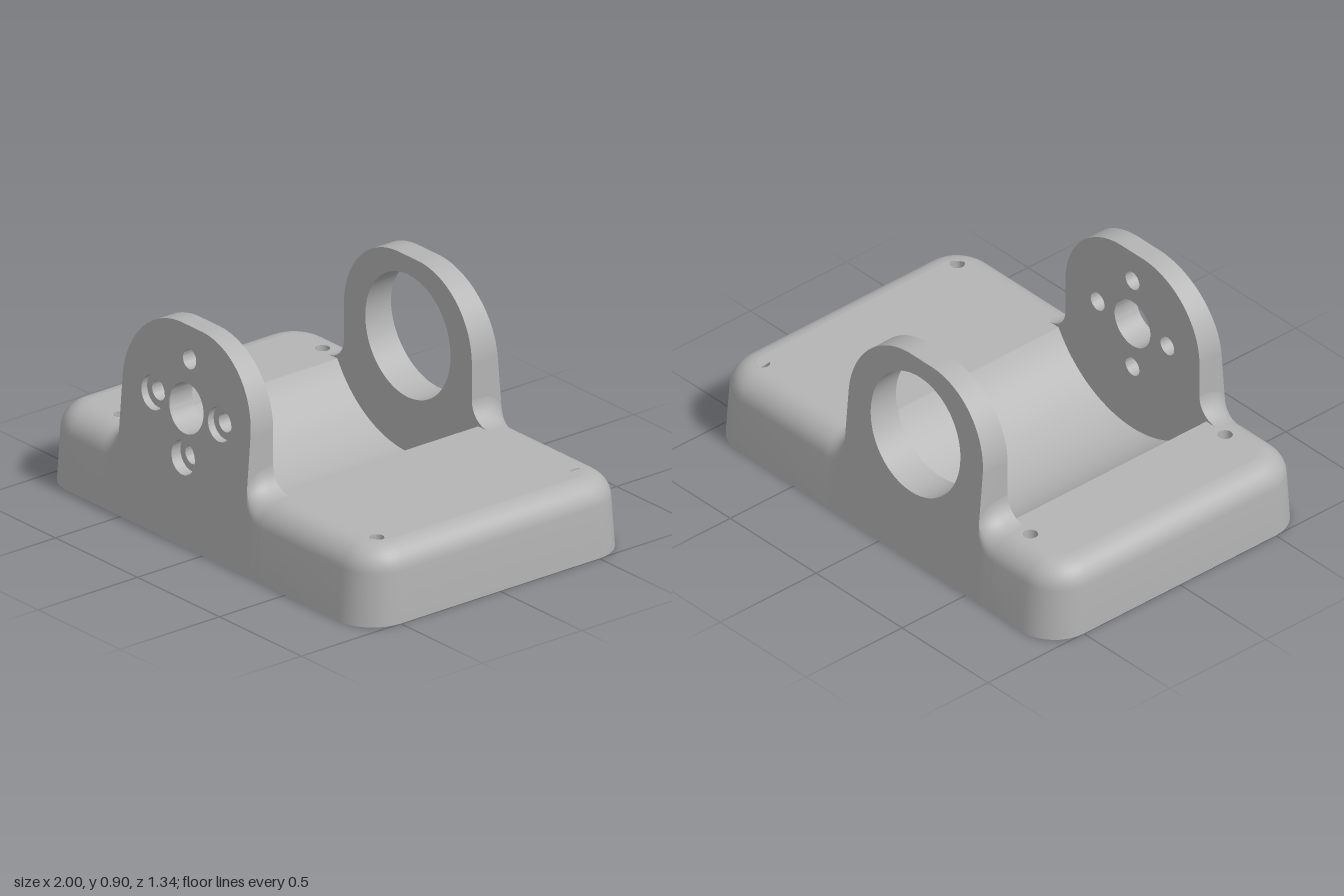
import * as THREE from 'three';
import { toCreasedNormals } from 'three/addons/utils/BufferGeometryUtils.js';

const EAR_L = -0.545, EAR_R = 0.235, EAR_X = -0.155, AXIS_Y = 0.56, TOP = 0.897;
const BASE_H = 0.32, ROUND = 0.1, CORNER = 0.17, FILLET = 0.095;
const INNER = { 1: 0.51, '-1': -0.49 };                    // inner faces of the ears
const outerZ = (f, y) => f * (0.67 - (f > 0 ? 0.08 : 0.088) * y); // drafted front and back faces
const BOLTS = [[-0.7, 0.505], [-0.7, -0.51], [0.86, 0.505], [0.86, -0.51]];

export function createModel() {
  const group = new THREE.Group();
  const metal = new THREE.MeshStandardMaterial({ color: 0xb4b4b4, side: THREE.DoubleSide });
  metal.name = 'grey metal';

  const add = (name, geometry) => {
    const mesh = new THREE.Mesh(toCreasedNormals(geometry, 0.55), metal);
    mesh.name = name;
    group.add(mesh);
  };

  // Surface through rows of points
  const loft = (rows) => {
    const n = rows[0].length, index = [];
    for (let i = 0; i < rows.length - 1; i++) {
      for (let j = 0; j < n - 1; j++) {
        const a = i * n + j, b = a + 1, c = b + n, d = a + n;
        index.push(a, b, c, a, c, d);
      }
    }
    const g = new THREE.BufferGeometry();
    g.setAttribute('position', new THREE.Float32BufferAttribute(rows.flat(2), 3));
    g.setIndex(index);
    return g;
  };

  const circle = (x, y, r) => new THREE.Path().absarc(x, y, r, 0, Math.PI * 2, true);

  // Extrusion along z whose two end faces follow functions of height
  const slab = (shape, back, front) => {
    const g = new THREE.ExtrudeGeometry(shape, { depth: 1, bevelEnabled: false, curveSegments: 32 });
    const p = g.attributes.position;
    for (let i = 0; i < p.count; i++) p.setZ(i, (p.getZ(i) > 0.5 ? front : back)(p.getY(i)));
    return g;
  };

  // Base side outline of one wing at a height and inset, running front to back
  const wingRing = (s, y, inset) => {
    const xIn = s < 0 ? EAR_L - FILLET : EAR_R + FILLET;
    const r = CORNER - inset, xc = 1 - inset - r, ring = [];
    for (const f of [1, -1]) {
      const z = outerZ(f, y) - f * inset;
      const part = [[xIn, y, z]];
      for (let k = 0; k <= 8; k++) {
        const a = k / 8 * Math.PI / 2;
        part.push([s * (xc + r * Math.sin(a)), y, z - f * r * (1 - Math.cos(a))]);
      }
      ring.push(...(f > 0 ? part : part.reverse()));
    }
    return ring;
  };

  // Rounded edge of the base: angle 0 on top, 90 degrees on the side
  const edge = [];
  for (let k = 0; k <= 8; k++) {
    const a = k / 8 * Math.PI / 2;
    edge.push({ y: BASE_H - ROUND + ROUND * Math.cos(a), inset: ROUND * (1 - Math.sin(a)) });
  }

  const plate = (points, holes) => {
    const shape = new THREE.Shape(points);
    for (const [x, y] of holes) shape.holes.push(circle(x, y, 0.03));
    return new THREE.ShapeGeometry(shape, 16);
  };

  // Wings: rounded walls and drilled flat tops
  for (const s of [-1, 1]) {
    const side = s < 0 ? 'right' : 'left';
    const rows = [wingRing(s, 0, 0), ...edge.slice().reverse().map((e) => wingRing(s, e.y, e.inset))];
    if (s < 0) rows.forEach((r) => r.reverse());
    add(side + 'WingWall', loft(rows));
    const flat = wingRing(s, BASE_H, ROUND).map(([x, , z]) => new THREE.Vector2(x, -z));
    const holes = BOLTS.filter(([x]) => x * s > 0).map(([x, z]) => [x, -z]);
    add(side + 'WingTop', plate(flat, holes).rotateX(-Math.PI / 2).translate(0, BASE_H, 0));
  }

  // Underside with the bolt holes
  const outline = [...wingRing(1, 0, 0), ...wingRing(-1, 0, 0).reverse()];
  add('underside', plate(outline.map(([x, , z]) => new THREE.Vector2(x, z)), BOLTS).rotateX(Math.PI / 2));
  for (const [x, z] of BOLTS) {
    const bore = new THREE.CylinderGeometry(0.03, 0.03, BASE_H, 24, 1, true);
    bore.scale(-1, 1, 1);
    add('boltHole', bore.translate(x, BASE_H / 2, z));
  }

  // Middle of the base with the cylindrical trough
  const troughR = 0.492, half = Math.acos((AXIS_Y - BASE_H) / troughR);
  const trough = new THREE.Shape();
  trough.moveTo(EAR_L - FILLET, 0);
  trough.lineTo(EAR_R + FILLET, 0);
  trough.lineTo(EAR_R + FILLET, BASE_H);
  trough.absarc(EAR_X, AXIS_Y, troughR, -Math.PI / 2 + half, -Math.PI / 2 - half, true);
  trough.lineTo(EAR_L - FILLET, BASE_H);
  add('trough', slab(trough, () => INNER[-1], () => INNER[1]));

  // Ear outline with rounded shoulders
  const earShape = (holes) => {
    const r = 0.33, s = new THREE.Shape();
    s.moveTo(EAR_L, 0);
    s.lineTo(EAR_R, 0);
    s.absarc(EAR_R - r, TOP - r, r, 0, Math.PI / 2, false);
    s.absarc(EAR_L + r, TOP - r, r, Math.PI / 2, Math.PI, false);
    s.holes.push(...holes);
    return s;
  };
  const D = 0.203;
  const mountHoles = (r) => [
    circle(EAR_X, AXIS_Y, 0.104),
    circle(EAR_X, AXIS_Y + D, 0.04),
    circle(EAR_X - D, AXIS_Y, r),
    circle(EAR_X + D, AXIS_Y, r),
    circle(EAR_X, AXIS_Y - D, r),
  ];
  // Front ear in two layers, the outer one carrying the counterbores
  const seat = 0.597;
  add('frontEar', slab(earShape(mountHoles(0.04)), () => INNER[1], () => seat));
  add('frontEarFace', slab(earShape(mountHoles(0.071)), () => seat, (y) => outerZ(1, y)));
  add('backEar', slab(earShape([circle(EAR_X, AXIS_Y, 0.26)]), (y) => outerZ(-1, y), () => INNER[-1]));

  // Concave fillets where the ears meet the wings
  for (const f of [1, -1]) {
    for (const s of [-1, 1]) {
      const row = (point) => {
        const pts = [];
        for (let k = 0; k <= 8; k++) {
          const a = k / 8 * Math.PI / 2;
          const x = (s < 0 ? EAR_L : EAR_R) + s * FILLET * (1 - Math.cos(a));
          pts.push(point(x, FILLET * (1 - Math.sin(a))));
        }
        return s * f > 0 ? pts.reverse() : pts;
      };
      const rows = [
        row((x) => [x, 0, INNER[f]]),
        row((x, rise) => [x, BASE_H + rise, INNER[f]]),
        ...edge.map((e) => row((x, rise) => {
          const y = e.y + rise;
          const z = Math.min(f * outerZ(f, e.y) - e.inset, f * outerZ(f, y));
          return [x, y, f * z];
        })),
        row((x) => [x, 0, outerZ(f, 0)]),
      ];
      add((f > 0 ? 'front' : 'back') + 'EarFillet', loft(rows));
    }
  }
  return group;
}
